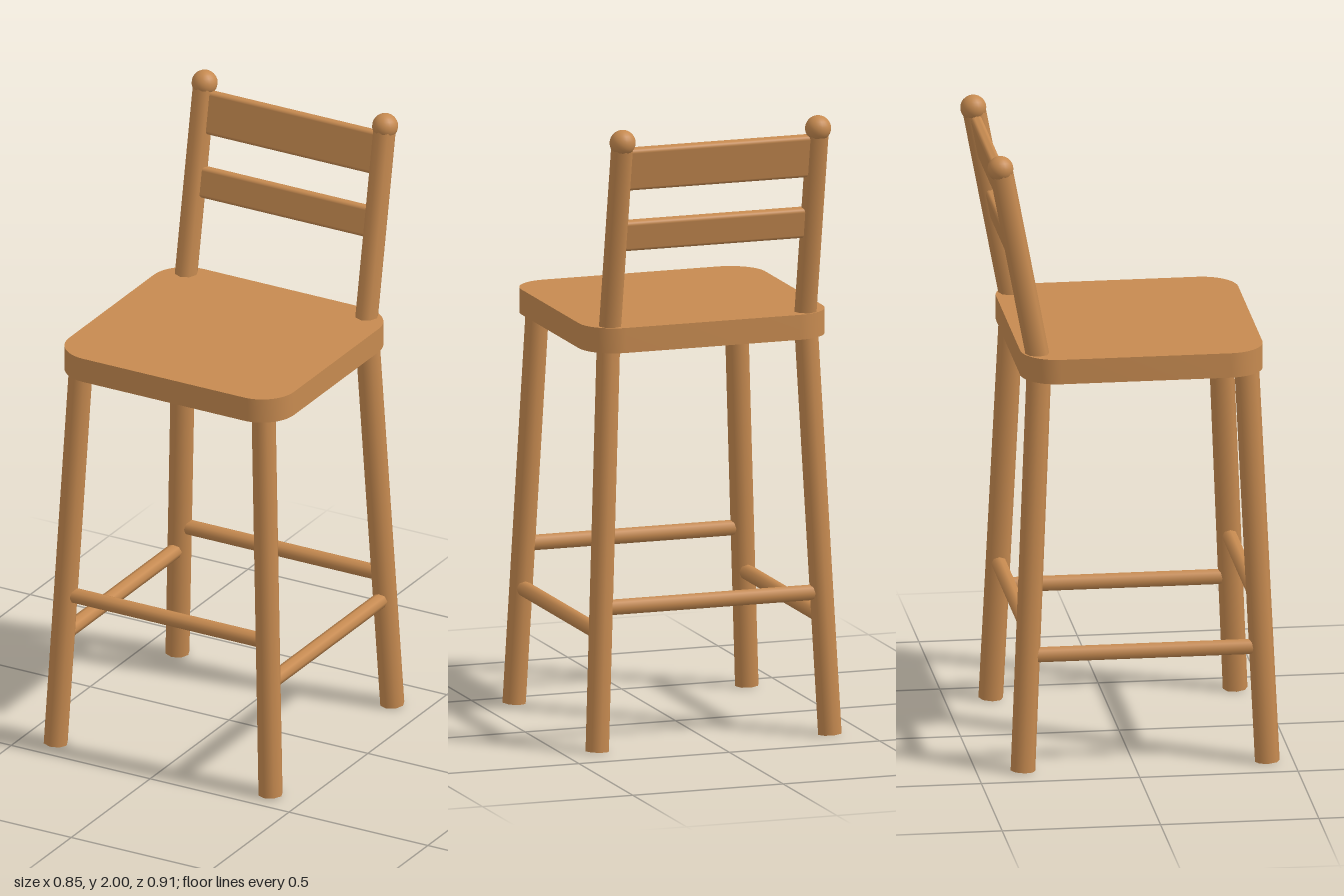
import * as THREE from 'three';
import { toCreasedNormals } from 'three/addons/utils/BufferGeometryUtils.js';
import { RoundedBoxGeometry } from 'three/addons/geometries/RoundedBoxGeometry.js';

const wood = new THREE.MeshStandardMaterial({ color: 0xc68a50 });
wood.name = 'wood';

export function createModel() {
  const model = new THREE.Group();
  model.name = 'barStool';

  const add = (name, geometry) => {
    const mesh = new THREE.Mesh(geometry, wood);
    mesh.name = name;
    model.add(mesh);
    return mesh;
  };

  // Round bar running between two points
  const bar = (name, a, b, radius) => {
    const start = new THREE.Vector3(...a);
    const end = new THREE.Vector3(...b);
    const dir = end.clone().sub(start);
    const mesh = add(name, new THREE.CylinderGeometry(radius, radius, dir.length(), 8));
    mesh.position.copy(start).add(end).multiplyScalar(0.5);
    mesh.quaternion.setFromUnitVectors(new THREE.Vector3(0, 1, 0), dir.normalize());
    return mesh;
  };

  // Seat: rounded slab
  const w = 0.405, back = -0.35, front = 0.415, r = 0.115;
  const outline = new THREE.Shape();
  outline.absarc(w - r, -back - r, r, 0, Math.PI / 2);
  outline.absarc(-w + r, -back - r, r, Math.PI / 2, Math.PI);
  outline.absarc(-w + r, -front + r, r, Math.PI, Math.PI * 1.5);
  outline.absarc(w - r, -front + r, r, Math.PI * 1.5, Math.PI * 2);
  outline.closePath();
  const slab = new THREE.ExtrudeGeometry(outline, { depth: 0.08, bevelEnabled: false, curveSegments: 8 });
  slab.rotateX(-Math.PI / 2);
  add('seat', toCreasedNormals(slab, 0.6)).position.y = 1.27;

  // Centre of a splayed leg at height y
  const legX = (y) => 0.387 - 0.045 * y;
  const legZ = (y, f) => (f > 0 ? 0.418 : -0.354) - f * 0.045 * y;

  for (const s of [-1, 1]) {
    const side = s > 0 ? 'left' : 'right';

    // Legs
    for (const f of [1, -1]) {
      bar(`${side}${f > 0 ? 'Front' : 'Back'}Leg`,
        [s * legX(0.003), 0.003, legZ(0.003, f)],
        [s * legX(1.3), 1.3, legZ(1.3, f)], 0.039);
    }

    // Side stretcher
    const y = 0.375;
    bar(`${side}Stretcher`, [s * legX(y), y, legZ(y, -1)], [s * legX(y), y, legZ(y, 1)], 0.025);

    // Back post with ball finial
    bar(`${side}BackPost`, [s * 0.325, 1.31, -0.293], [s * 0.325, 1.96, -0.416], 0.037);
    add(`${side}Finial`, new THREE.SphereGeometry(0.041, 20, 14)).position.set(s * 0.325, 1.959, -0.417);
  }

  // Front and back stretchers
  for (const [name, y, f] of [['frontStretcher', 0.515, 1], ['backStretcher', 0.455, -1]]) {
    bar(name, [-legX(y), y, legZ(y, f)], [legX(y), y, legZ(y, f)], 0.025);
  }

  // Back slats, leaning with the posts
  for (const [name, y, height, z] of [['upperSlat', 1.87, 0.14, -0.4], ['lowerSlat', 1.648, 0.1, -0.357]]) {
    const slat = add(name, new RoundedBoxGeometry(0.62, height, 0.035, 3, 0.012));
    slat.position.set(0, y, z);
    slat.rotation.x = -0.187;
  }

  return model;
}
